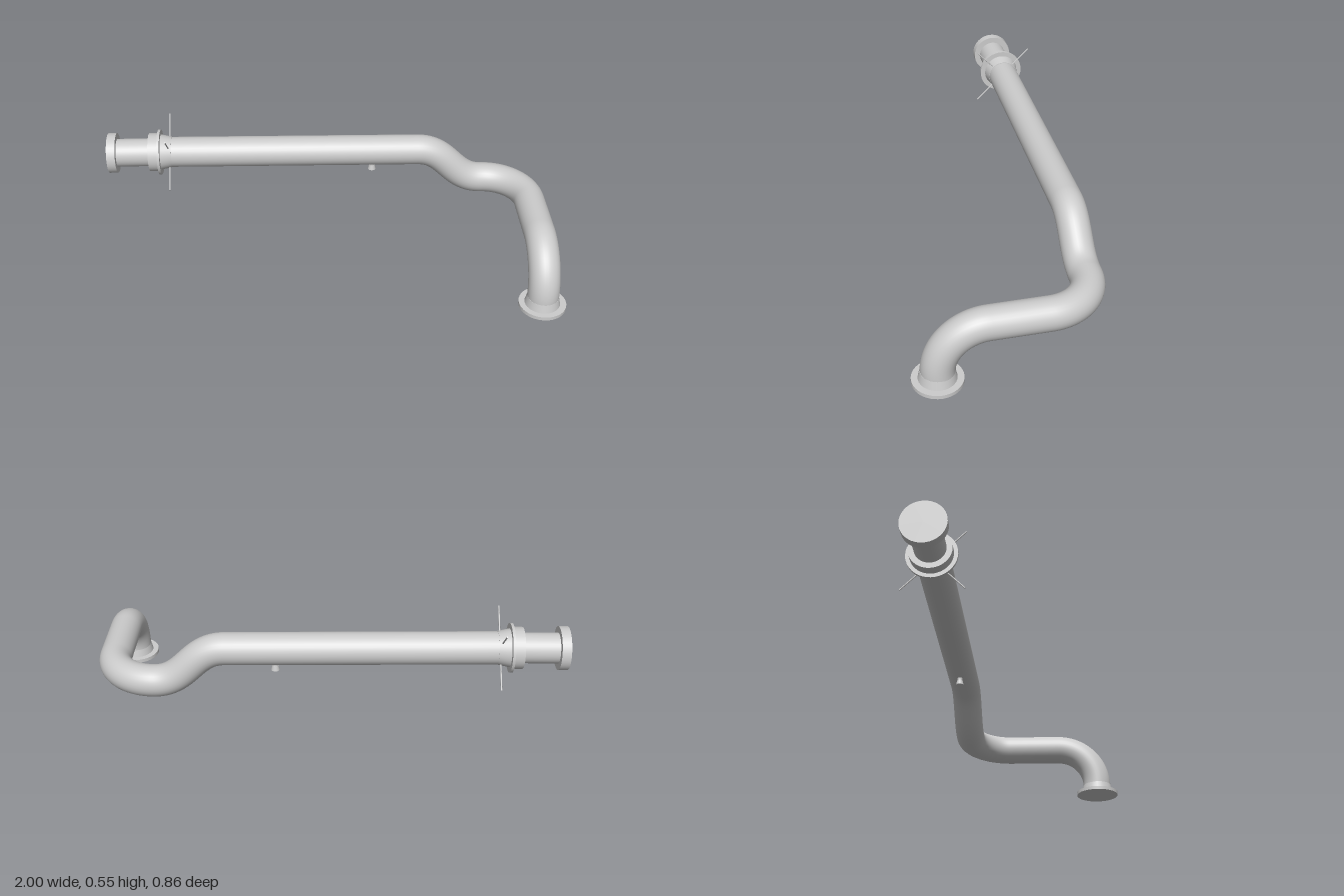
import * as THREE from 'three';

const material = new THREE.MeshStandardMaterial({ color: 0xcccccc });
const R = 0.068;          // main pipe radius
const Z = -0.301;         // axis of the long run
const v = (x, y, z) => new THREE.Vector3(x, y, z);

export function createModel() {
  const group = new THREE.Group();
  const add = (name, geometry, position, parent = group) => {
    const mesh = new THREE.Mesh(geometry, material);
    mesh.name = name;
    mesh.position.copy(position);
    parent.add(mesh);
    return mesh;
  };

  // Pipe: long run, S-bend down, turn forward, short run, turn down to the foot
  const path = new THREE.CurvePath();
  const line = (a, b) => path.add(new THREE.LineCurve3(a, b));
  const bend = (a, b, c, d) => path.add(new THREE.CubicBezierCurve3(a, b, c, d));
  const start = v(-0.77, 0.422, Z), sTop = v(0.4, 0.41, Z), sLow = v(0.7, 0.252, Z);
  const turnEnd = v(0.895, 0.25, -0.106), downStart = v(0.895, 0.247, 0.13), downEnd = v(0.896, 0.05, 0.326);
  line(start, sTop);
  bend(sTop, v(0.54, 0.409, Z), v(0.56, 0.253, Z), sLow);
  bend(sLow, v(0.808, 0.252, Z), v(0.895, 0.251, -0.214), turnEnd);
  line(turnEnd, downStart);
  bend(downStart, v(0.895, 0.246, 0.238), v(0.896, 0.158, 0.326), downEnd);
  add('pipe', new THREE.TubeGeometry(path, 160, R, 32, false), v(0, 0, 0));

  // Foot: flared neck on a round flange
  add('footNeck', new THREE.CylinderGeometry(R, 0.077, 0.04, 32), v(0.896, 0.032, 0.327));
  add('footFlange', new THREE.CylinderGeometry(0.102, 0.102, 0.016, 40), v(0.897, 0.008, 0.327));

  // Turned parts along x at the far end: [name, x0, x1, radius at x0, radius at x1]
  const turned = [
    ['endFlange', -1, -0.962, 0.09, 0.09],
    ['stubPipe', -0.97, -0.79, 0.063, 0.063],
    ['collar', -0.817, -0.772, 0.086, 0.086],
    ['collarDisc', -0.775, -0.764, 0.102, 0.102],
    ['collarTaper', -0.765, -0.715, 0.08, 0.069],
  ];
  for (const [name, x0, x1, r0, r1] of turned) {
    const geometry = new THREE.CylinderGeometry(r1, r0, x1 - x0, 40).rotateZ(-Math.PI / 2);
    add(name, geometry, v((x0 + x1) / 2, 0.422, Z));
  }

  // Four thin diagonal rods around the pipe
  const rods = new THREE.Group();
  rods.name = 'radialRods';
  rods.position.set(-0.727, 0.422, Z);
  group.add(rods);
  for (let i = 0; i < 4; i++) {
    const a = Math.PI / 4 + i * Math.PI / 2;
    const rod = add('rod', new THREE.CylinderGeometry(0.003, 0.003, 0.12, 8),
      v(0, Math.cos(a) * 0.118, Math.sin(a) * 0.118), rods);
    rod.rotation.x = a;
  }

  // Drain nozzle under the long run
  add('drainNeck', new THREE.CylinderGeometry(0.012, 0.012, 0.03, 16), v(0.193, 0.341, Z));
  add('drainCap', new THREE.CylinderGeometry(0.013, 0.018, 0.022, 16), v(0.193, 0.322, Z));

  return group;
}
